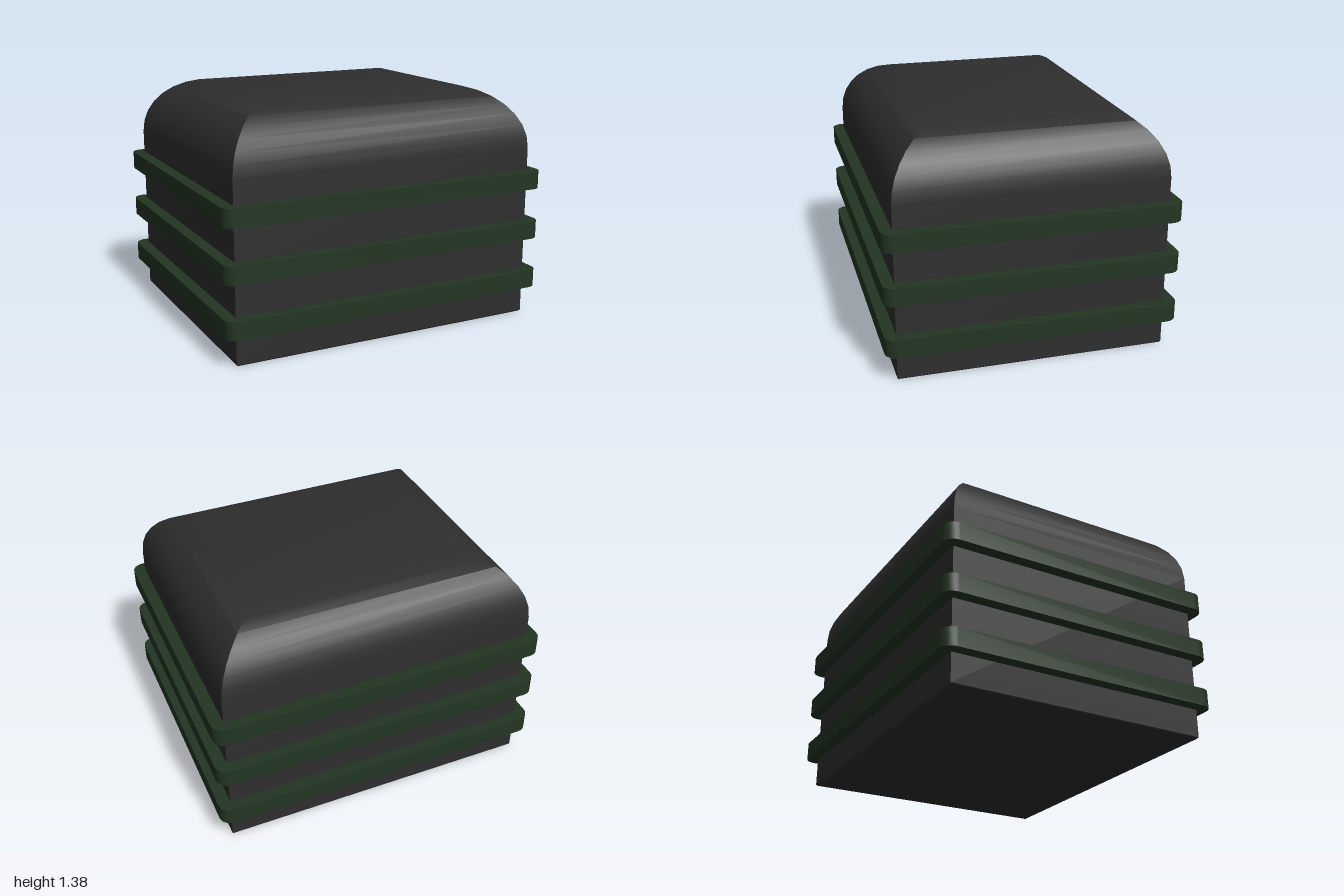
import * as THREE from 'three';
import { toCreasedNormals } from 'three/addons/utils/BufferGeometryUtils.js';

const CREASE = 0.72;
const HALF_X = 0.93, HALF_Z = 0.775, TOP = 1.375, ROUND = 0.355;

// Mitred block: stacked rectangles, each inset equally on all four sides
function blockGeometry() {
  const rows = [[0.008, 0], [0, 0.008]];
  const steps = 8;
  for (let i = 0; i <= steps; i++) {
    const a = (i / steps) * Math.PI / 2;
    rows.push([ROUND * (1 - Math.cos(a)), TOP - ROUND + ROUND * Math.sin(a)]);
  }
  const corners = [[1, 1], [1, -1], [-1, -1], [-1, 1]];
  const positions = [], index = [];
  for (const [inset, y] of rows) {
    for (const [sx, sz] of corners) positions.push(sx * (HALF_X - inset), y, sz * (HALF_Z - inset));
  }
  for (let r = 0; r < rows.length - 1; r++) {
    for (let k = 0; k < 4; k++) {
      const a = r * 4 + k, b = r * 4 + (k + 1) % 4;
      index.push(a, b, b + 4, a, b + 4, a + 4);
    }
  }
  const t = (rows.length - 1) * 4;
  index.push(t, t + 1, t + 2, t, t + 2, t + 3, 0, 2, 1, 0, 3, 2);
  const geometry = new THREE.BufferGeometry();
  geometry.setAttribute('position', new THREE.Float32BufferAttribute(positions, 3));
  geometry.setIndex(index);
  return toCreasedNormals(geometry, CREASE);
}

// Rectangular band with rounded corners, hollow where the block passes through
function bandGeometry(height) {
  const x = 1, z = 0.842, r = 0.068;
  const shape = new THREE.Shape();
  shape.moveTo(x, -z + r);
  shape.lineTo(x, z - r);
  shape.absarc(x - r, z - r, r, 0, Math.PI / 2);
  shape.absarc(-x + r, z - r, r, Math.PI / 2, Math.PI);
  shape.absarc(-x + r, -z + r, r, Math.PI, Math.PI * 1.5);
  shape.absarc(x - r, -z + r, r, Math.PI * 1.5, Math.PI * 2);
  const hx = HALF_X - 0.01, hz = HALF_Z - 0.01;
  const hole = new THREE.Path();
  hole.moveTo(-hx, -hz);
  hole.lineTo(-hx, hz);
  hole.lineTo(hx, hz);
  hole.lineTo(hx, -hz);
  hole.closePath();
  shape.holes.push(hole);
  const geometry = new THREE.ExtrudeGeometry(shape, { depth: height, bevelEnabled: false, curveSegments: 3 });
  geometry.rotateX(-Math.PI / 2);
  return toCreasedNormals(geometry, CREASE);
}

export function createModel() {
  const group = new THREE.Group();
  const charcoal = new THREE.MeshStandardMaterial({ color: 0x2e2e2e });
  charcoal.name = 'charcoal';
  const darkGreen = new THREE.MeshStandardMaterial({ color: 0x233523 });
  darkGreen.name = 'dark green';

  const block = new THREE.Mesh(blockGeometry(), charcoal);
  block.name = 'block';
  group.add(block);

  // Three evenly spaced bands
  const geometry = bandGeometry(0.105);
  for (let i = 0; i < 3; i++) {
    const band = new THREE.Mesh(geometry, darkGreen);
    band.name = 'band' + (i + 1);
    band.position.y = 0.173 + i * 0.304;
    group.add(band);
  }
  return group;
}
